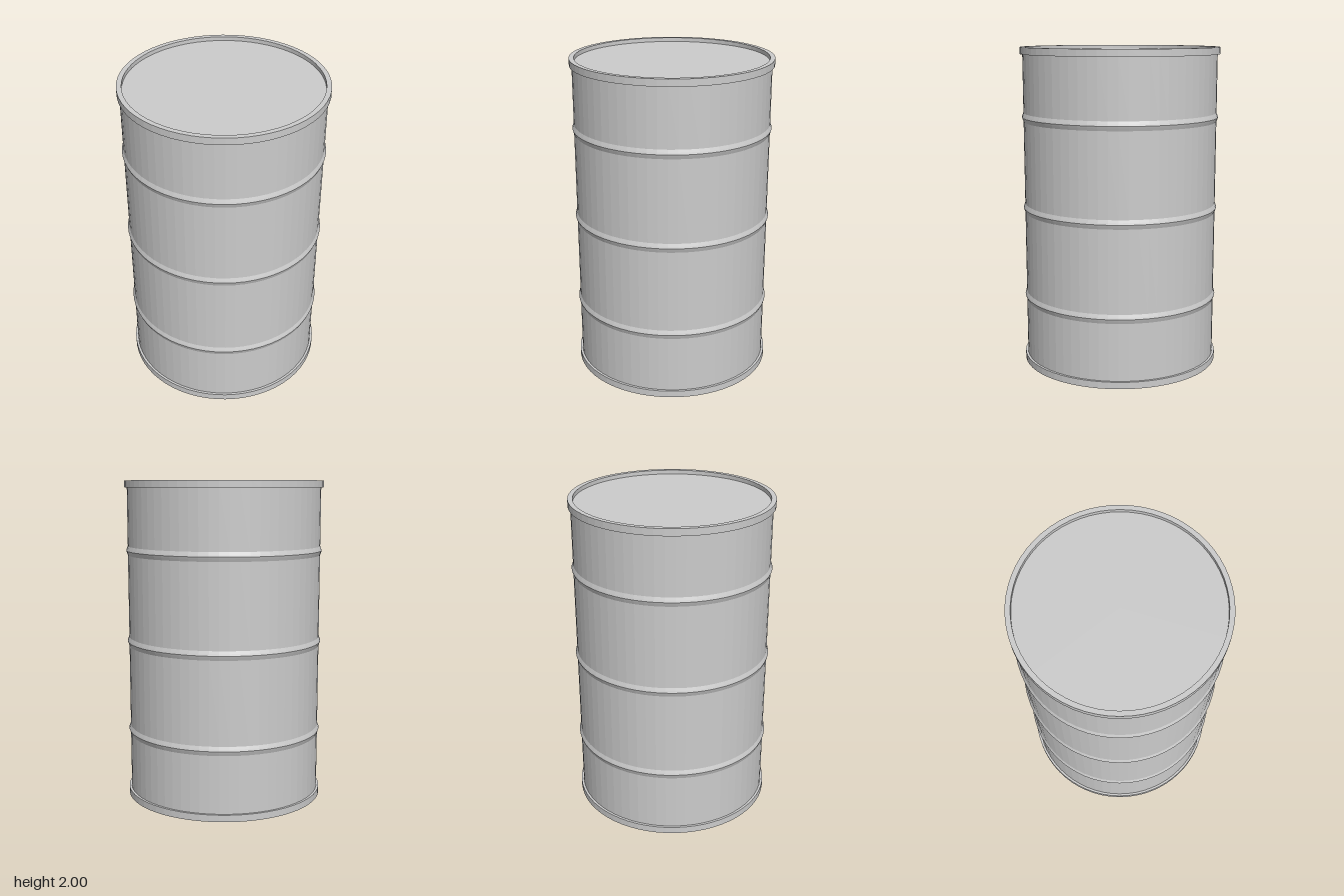
import * as THREE from 'three';

const SEGMENTS = 64;
const BODY_R = 0.605;
const RIM_IN = 0.59;
const RIM_OUT = 0.62;
const RECESS = 0.025;
const HEIGHT = 2;

// Faceted solid of revolution; the profile runs upwards on its outer side
function lathe(name, profile, material) {
  const points = profile.map(([r, y]) => new THREE.Vector2(r, y));
  const mesh = new THREE.Mesh(new THREE.LatheGeometry(points, SEGMENTS), material);
  mesh.name = name;
  return mesh;
}

export function createModel() {
  const group = new THREE.Group();
  group.name = 'drum';
  const material = new THREE.MeshStandardMaterial({ color: 0xcccccc, flatShading: true });

  // Drum wall with three rolled hoops
  const wall = [[BODY_R, RECESS]];
  for (const y of [0.43, 1.0, 1.57]) {
    wall.push(
      [BODY_R, y - 0.028], [BODY_R + 0.006, y - 0.012],
      [BODY_R + 0.01, y], [BODY_R + 0.006, y + 0.012], [BODY_R, y + 0.028]
    );
  }
  wall.push([BODY_R, HEIGHT - RECESS]);
  group.add(lathe('wall', wall, material));

  // Recessed end plates
  for (const [name, y, tilt] of [['lid', HEIGHT - RECESS, -1], ['base', RECESS, 1]]) {
    const plate = new THREE.Mesh(new THREE.CircleGeometry(BODY_R, SEGMENTS), material);
    plate.name = name;
    plate.rotation.x = tilt * Math.PI / 2;
    plate.position.y = y;
    group.add(plate);
  }

  // Square-edged rims at both ends
  for (const [name, y0, y1] of [['bottomRim', 0, 0.043], ['topRim', HEIGHT - 0.043, HEIGHT]]) {
    group.add(lathe(name, [
      [RIM_IN, y0], [RIM_OUT, y0], [RIM_OUT, y1], [RIM_IN, y1], [RIM_IN, y0]
    ], material));
  }

  return group;
}
